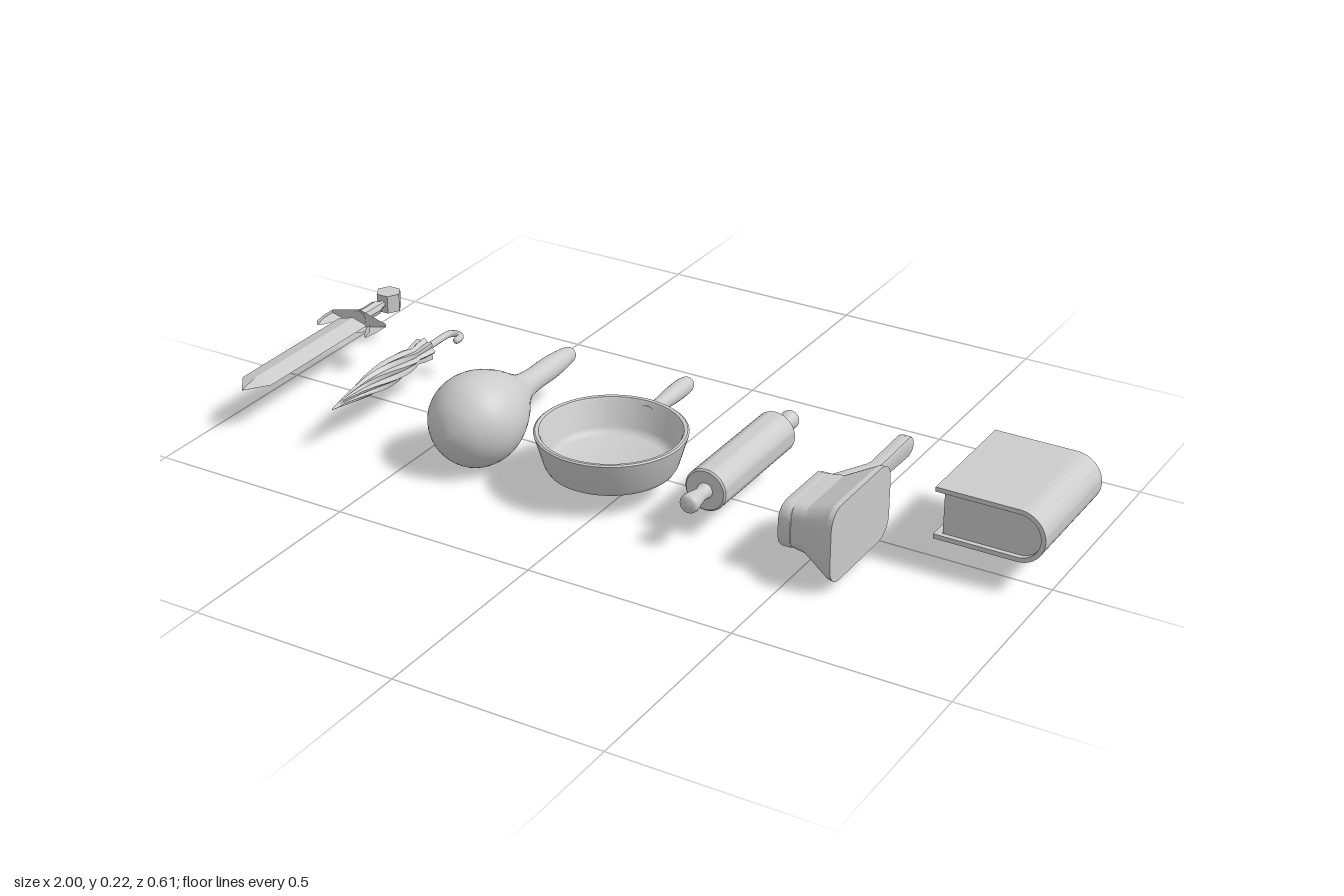
import * as THREE from 'three';
import { mergeVertices, toCreasedNormals } from 'three/addons/utils/BufferGeometryUtils.js';

const MID = 0.114; // common axis height
const V = (x, y, z) => new THREE.Vector3(x, y, z);

// Skin through rings (counter-clockwise seen from the last ring), with end caps.
function loft(rings, crease = 0.6) {
  const n = rings[0].length, pos = [], idx = [];
  const centres = [rings[0], rings[rings.length - 1]].map((r) =>
    r.reduce((s, p) => s.add(p), V(0, 0, 0)).divideScalar(n));
  rings.flat().concat(centres).forEach((p) => pos.push(p.x, p.y, p.z));
  const c0 = rings.length * n, last = c0 - n;
  for (let j = 0; j < n; j++) {
    const k = (j + 1) % n;
    for (let i = 0; i < rings.length - 1; i++) {
      const a = i * n + j, b = i * n + k;
      idx.push(a, b, a + n, b, b + n, a + n);
    }
    idx.push(c0, k, j, c0 + 1, last + j, last + k);
  }
  const g = new THREE.BufferGeometry();
  g.setAttribute('position', new THREE.Float32BufferAttribute(pos, 3));
  g.setIndex(idx);
  return toCreasedNormals(g.toNonIndexed(), crease);
}

// Lathe along z from [z, radius] pairs, low z first.
function latheZ(profile, segments = 32) {
  return new THREE.LatheGeometry(profile.map(([z, r]) => new THREE.Vector2(r, z)), segments).rotateX(Math.PI / 2);
}

// Smoothed version of a [z, radius] profile.
function smoothProfile(profile, count) {
  const curve = new THREE.SplineCurve(profile.map(([z, r]) => new THREE.Vector2(z, r)));
  return curve.getPoints(count).map((p) => [p.x, Math.max(0, p.y)]);
}

// Rounded rectangle outline as points, counter-clockwise.
function roundedRect(hw, hh, r, steps = 5) {
  const pts = [];
  [[1, 1], [-1, 1], [-1, -1], [1, -1]].forEach(([sx, sy], q) => {
    for (let i = 0; i <= steps; i++) {
      const a = (q + i / steps) * Math.PI / 2;
      pts.push([sx * (hw - r) + r * Math.cos(a), sy * (hh - r) + r * Math.sin(a)]);
    }
  });
  return pts;
}

function createSword(add) {
  // Diamond-section blade
  add('blade', loft([[-0.13, 0.042, 0.012], [0.25, 0.042, 0.012], [0.305, 0.001, 0.001]].map(([z, w, h]) =>
    [V(w, 0, z), V(0, h, z), V(-w, 0, z), V(0, -h, z)]), 0.1));
  // Guard: cross-sections along x, thinning to drooping tips
  const half = [[0, -0.157, -0.118, 0.023], [0.03, -0.155, -0.12, 0.017], [0.056, -0.155, -0.122, 0.01],
    [0.064, -0.155, -0.095, 0.008], [0.072, -0.155, -0.08, 0.006], [0.081, -0.155, -0.118, 0.004]];
  const sections = half.slice(1).reverse().map(([x, ...s]) => [-x, ...s]).concat(half);
  add('guard', loft(sections.map(([x, z0, z1, h]) =>
    [V(x, -h, z1), V(x, -h, z0), V(x, h, z0), V(x, h, z1)].reverse()), 0.3));
  add('grip', toCreasedNormals(latheZ([[-0.26, 0.008], [-0.245, 0.01], [-0.225, 0.018], [-0.19, 0.017], [-0.155, 0.02]], 8), 0.5));
  // Hexagonal pommel
  add('pommel', toCreasedNormals(new THREE.CylinderGeometry(0.032, 0.032, 0.046, 6).rotateY(Math.PI / 6 + Math.PI / 3), 0.1), 0, 0, -0.281);
}

function createUmbrella(add) {
  // Furled canopy: twisted pleats
  const profile = [[-0.095, 0.031], [-0.07, 0.028], [-0.045, 0.023], [-0.025, 0.027], [0.03, 0.031],
    [0.08, 0.03], [0.13, 0.025], [0.18, 0.017], [0.23, 0.009], [0.25, 0.006]];
  const n = 32;
  const rings = smoothProfile(profile, 28).map(([z, r]) => Array.from({ length: n }, (_, j) => {
    const a = j / n * Math.PI * 2, fold = r * (0.87 + 0.13 * Math.cos(8 * a));
    const t = a + Math.max(0, z + 0.03) * 6;
    return V(fold * Math.cos(t), fold * Math.sin(t), z);
  }));
  add('canopy', loft(rings, 0.9));
  add('ferrule', latheZ([[0.24, 0.007], [0.275, 0.002], [0.277, 0]], 12));
  // Shaft and hooked handle
  const pts = [V(0, 0, -0.08), V(0, 0, -0.13), V(0, 0, -0.18)];
  for (let i = 1; i <= 8; i++) {
    const a = Math.PI - i / 8 * Math.PI;
    pts.push(V(0.019 + 0.019 * Math.cos(a), 0, -0.184 - 0.02 * Math.sin(a)));
  }
  pts.push(V(0.038, 0, -0.174));
  const path = new THREE.CatmullRomCurve3(pts);
  add('hookHandle', new THREE.TubeGeometry(path, 40, 0.0085, 10));
  add('hookEnd', new THREE.SphereGeometry(0.0085, 10, 8), 0.038, 0, -0.174);
}

function createMaraca(add) {
  add('maracaBody', latheZ(smoothProfile([[-0.266, 0], [-0.255, 0.016], [-0.225, 0.023], [-0.16, 0.028], [-0.09, 0.028],
    [-0.04, 0.034], [0, 0.053], [0.05, 0.083], [0.1, 0.104], [0.15, 0.111], [0.2, 0.099], [0.24, 0.066],
    [0.259, 0.03], [0.266, 0]], 52), 40));
}

function createPan(add) {
  // Pan shell: outside up, over the rim, down the inside
  const outline = [[0, 0.055], [0.135, 0.055], [0.147, 0.06], [0.154, 0.072], [0.174, 0.14], [0.176, 0.147],
    [0.172, 0.15], [0.164, 0.149], [0.16, 0.142], [0.143, 0.084], [0.137, 0.073], [0.125, 0.068], [0, 0.068]];
  const bowl = new THREE.LatheGeometry(outline.map(([r, y]) => new THREE.Vector2(r, y)), 48);
  add('panBowl', toCreasedNormals(bowl, 0.75), 0, -MID, 0.09);
  add('panHandle', latheZ(smoothProfile([[-0.264, 0], [-0.258, 0.014], [-0.235, 0.021], [-0.18, 0.021],
    [-0.12, 0.017], [-0.085, 0.02], [-0.066, 0.022]], 30), 24), 0, 0.004, 0);
}

function createRollingPin(add) {
  add('roller', toCreasedNormals(latheZ([[-0.152, 0], [-0.152, 0.047], [-0.148, 0.051], [0.17, 0.051], [0.174, 0.047], [0.174, 0]]), 0.7));
  const knob = smoothProfile([[0, 0.019], [0.02, 0.016], [0.045, 0.02], [0.065, 0.023], [0.076, 0.018], [0.081, 0]], 24);
  add('rearKnob', latheZ(knob, 24).rotateY(Math.PI), 0, 0, -0.152);
  add('frontKnob', latheZ(knob, 24), 0, 0, 0.174);
}

function createBrush(add) {
  // Back plate and cranked handle: [z, x, half height]
  const spine = [[-0.257, 0.53, 0.012], [-0.25, 0.53, 0.02], [-0.235, 0.53, 0.025], [-0.1, 0.53, 0.021], [-0.085, 0.527, 0.021],
    [0.01, 0.484, 0.026], [0.028, 0.478, 0.036], [0.04, 0.478, 0.046], [0.06, 0.478, 0.055],
    [0.205, 0.478, 0.055], [0.222, 0.478, 0.049], [0.232, 0.478, 0.038], [0.236, 0.478, 0.025]];
  add('brushHandle', loft(spine.map(([z, x, h]) =>
    roundedRect(0.0145, h, 0.004, 2).map(([u, v]) => V(x + u, v, z))), 0.6));
  // Bristle block flaring away from the plate
  const flare = [[0.488, 0.132, 0.099, 0.055, 0.032], [0.525, 0.131, 0.108, 0.057, 0.034],
    [0.594, 0.13, 0.138, 0.09, 0.045], [0.607, 0.13, 0.14, 0.091, 0.045]];
  add('bristles', loft(flare.map(([x, z, hz, hy, r]) =>
    roundedRect(hz, hy, r).map(([u, v]) => V(x, v, z - u))), 0.35));
}

function createBook(add) {
  const r = 0.0625, t = 0.011, cx = 0.932;
  // Wrap-around cover with a round spine
  const cover = new THREE.Shape();
  cover.moveTo(0.738, -r).lineTo(cx, -r);
  cover.absarc(cx, 0, r, -Math.PI / 2, Math.PI / 2, false);
  cover.lineTo(0.738, r).lineTo(0.738, r - t).lineTo(cx, r - t);
  cover.absarc(cx, 0, r - t, Math.PI / 2, -Math.PI / 2, true);
  cover.lineTo(0.738, t - r).closePath();
  const extrude = (shape, depth) => toCreasedNormals(
    new THREE.ExtrudeGeometry(shape, { depth, bevelEnabled: false, curveSegments: 24 }), 0.5);
  add('bookCover', extrude(cover, 0.305), 0, 0.023, -0.26);
  // Page block
  const pages = new THREE.Shape();
  pages.moveTo(0.755, t - r).lineTo(cx, t - r);
  pages.absarc(cx, 0, r - t, -Math.PI / 2, Math.PI / 2, false);
  pages.lineTo(0.755, r - t).closePath();
  add('bookPages', extrude(pages, 0.281), 0, 0.023, -0.248);
}

export function createModel() {
  const model = new THREE.Group();
  const material = new THREE.MeshStandardMaterial({ color: 0xcccccc });
  const items = [['sword', -0.92, createSword], ['umbrella', -0.68, createUmbrella], ['maraca', -0.367, createMaraca],
    ['fryingPan', -0.04, createPan], ['rollingPin', 0.25, createRollingPin], ['brush', 0, createBrush], ['book', 0, createBook]];
  for (const [name, x, build] of items) {
    const group = new THREE.Group();
    group.name = name;
    group.position.set(x, MID, 0);
    build((part, geometry, px = 0, py = 0, pz = 0) => {
      const mesh = new THREE.Mesh(geometry, material);
      mesh.name = part;
      mesh.position.set(px, py, pz);
      group.add(mesh);
    });
    model.add(group);
  }
  return model;
}
